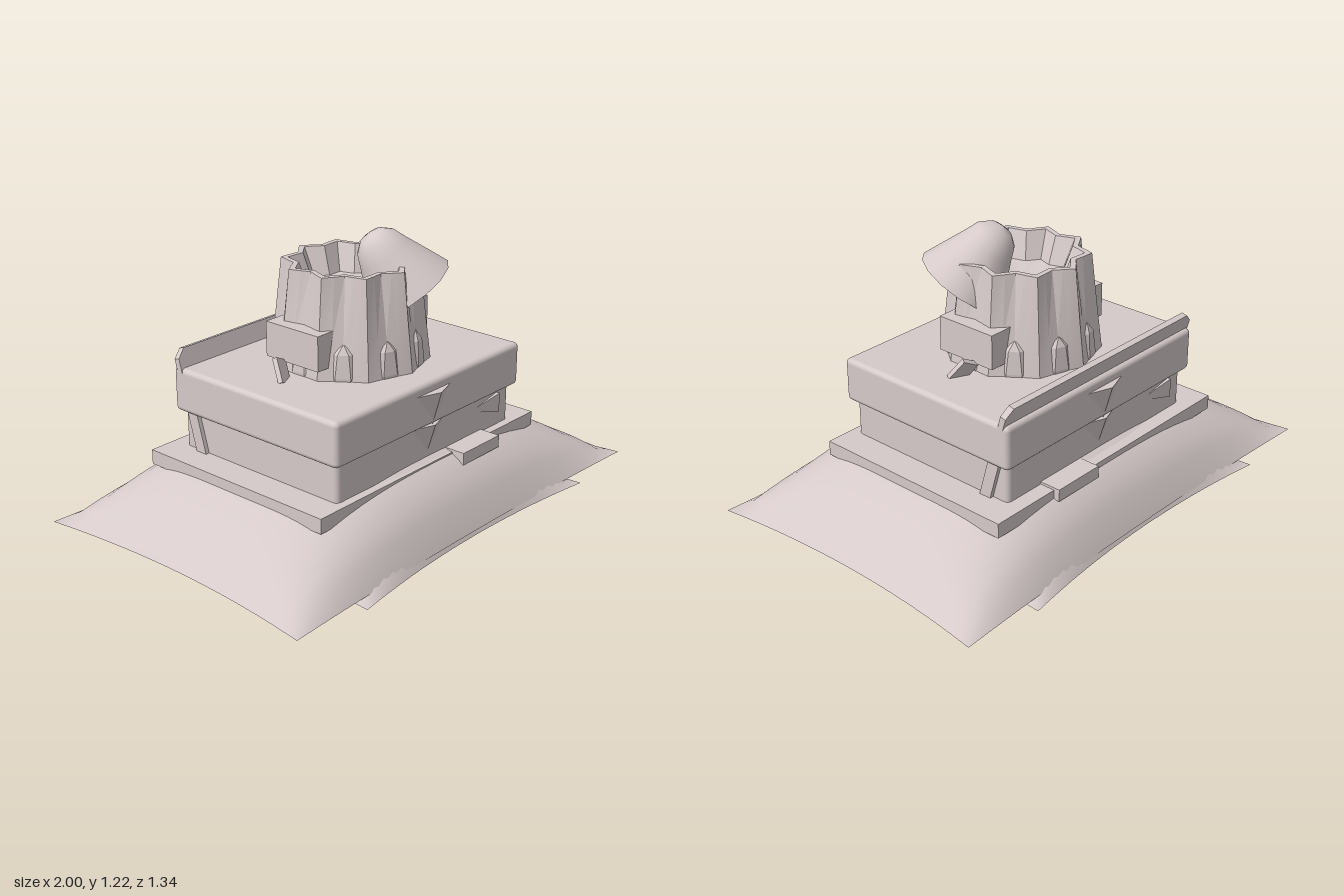
import * as THREE from 'three';
import { toCreasedNormals } from 'three/addons/utils/BufferGeometryUtils.js';
import { RoundedBoxGeometry } from 'three/addons/geometries/RoundedBoxGeometry.js';
import { ConvexGeometry } from 'three/addons/geometries/ConvexGeometry.js';

const stone = new THREE.MeshStandardMaterial({ color: 0xd6caca });
stone.name = 'pale stone';
stone.side = THREE.DoubleSide;

const V = (x, y, z) => new THREE.Vector3(x, y, z);

export function createModel() {
  const model = new THREE.Group();
  const add = (name, geometry) => {
    const mesh = new THREE.Mesh(geometry, stone);
    mesh.name = name;
    model.add(mesh);
    return mesh;
  };
  // box given by its limits
  const box = (name, x0, x1, y0, y1, z0, z1, r = 0) => {
    const g = r ? new RoundedBoxGeometry(x1 - x0, y1 - y0, z1 - z0, 2, r)
      : new THREE.BoxGeometry(x1 - x0, y1 - y0, z1 - z0);
    return add(name, g.translate((x0 + x1) / 2, (y0 + y1) / 2, (z0 + z1) / 2));
  };

  // cushions: two bulged sheets meeting at a pinched seam
  const cushion = (name, cx, cz, pinchX, pinchZ, seam, up, down) => {
    for (const s of [1, -1]) {
      const g = new THREE.PlaneGeometry(2, 2, 24, 24).rotateX(-s * Math.PI / 2);
      const p = g.attributes.position;
      for (let i = 0; i < p.count; i++) {
        const u = THREE.MathUtils.clamp(p.getX(i), -1, 1);
        const v = THREE.MathUtils.clamp(p.getZ(i), -1, 1);
        const bulge = (1 - Math.abs(u) ** 2.5) ** 0.8 * (1 - Math.abs(v) ** 4) ** 0.8;
        p.setXYZ(i, u * (cx - pinchX * (1 - v * v)),
          seam + (s > 0 ? up : -down) * bulge,
          v * (cz - pinchZ * (1 - u * u)));
      }
      g.computeVertexNormals();
      add(name + (s > 0 ? 'Top' : 'Underside'), g);
    }
  };
  cushion('wideCushion', 1, 0.645, 0.05, 0.025, 0.14, 0.29, 0.12);
  cushion('innerCushion', 0.67, 0.67, 0.02, 0.05, 0.12, 0.28, 0.1);

  // plates embedded in the cushions
  box('basePlate', -0.55, 0.55, 0, 0.03, -0.42, 0.42);
  box('lowerPlate', -0.645, 0.645, 0.02, 0.07, -0.46, 0.43);
  box('upperPlate', -0.645, 0.645, 0.32, 0.38, -0.46, 0.43);
  for (const s of [1, -1]) {
    const z = [0.3 * s, 0.485 * s].sort((a, b) => a - b);
    box('lowerTab', 0.11, 0.34, 0.005, 0.045, ...z);
    box('upperTab', 0.11, 0.34, 0.34, 0.39, ...z);
  }

  // pedestal
  box('pedestal', -0.52, 0.52, 0.34, 0.56, -0.395, 0.395, 0.02);
  box('pedestalCap', -0.55, 0.55, 0.53, 0.71, -0.42, 0.42, 0.02);

  // faceted triangle ornaments and side wedges on front and back
  for (const s of [1, -1]) {
    const gem = (name, y0, y1, z, out) => add(name, toCreasedNormals(new ConvexGeometry([
      V(-0.115, y1, z * s), V(0.115, y1, z * s), V(0, y0, z * s), V(0, y1, (z + out) * s)]), 0.2));
    gem('upperGem', 0.53, 0.67, 0.415, 0.04);
    gem('lowerGem', 0.4, 0.53, 0.39, 0.04);
    add('wedge', toCreasedNormals(new ConvexGeometry([
      V(0.26 * s, 0.485, 0.39 * s), V(0.44 * s, 0.52, 0.39 * s), V(0.44 * s, 0.44, 0.39 * s),
      V(0.44 * s, 0.52, 0.41 * s), V(0.44 * s, 0.44, 0.41 * s)]), 0.2));
  }

  // chamfered rail leaning back
  const railShape = new THREE.Shape([[-0.55, 0], [0.55, 0], [0.55, 0.07], [0.515, 0.105],
    [-0.515, 0.105], [-0.55, 0.07]].map(([x, y]) => new THREE.Vector2(x, y)));
  const rail = add('backRail', new THREE.ExtrudeGeometry(railShape, { depth: 0.025, bevelEnabled: false }));
  rail.position.set(0, 0.675, -0.392);
  rail.rotation.x = -0.27;

  // leaning struts, side blocks and small prongs
  for (const s of [1, -1]) {
    const strut = add('strut', new THREE.BoxGeometry(0.02, 0.19, 0.05));
    strut.position.set(0.527 * s, 0.45, -0.315);
    strut.rotation.x = -0.27;
    const x = [0.2 * s, 0.323 * s].sort((a, b) => a - b);
    box('sideBlock', ...x, 0.76, 0.9, -0.14, 0.125);
    const prong = add('prong', new THREE.BoxGeometry(0.07, 0.1, 0.02));
    prong.position.set(0.36 * s, 0.735, -0.025);
    prong.rotation.set(-0.5, -0.4 * s, 0.3 * s);
  }

  // fluted tower: rings of [radius on ribs, radius in grooves, height], ending in a hollow
  const rings = [[0.315, 0.295, 0.7], [0.295, 0.265, 0.86], [0.268, 0.222, 1.1],
    [0.24, 0.2, 1.1], [0.19, 0.16, 0.99], [0, 0, 0.97]];
  const lobes = 10, n = lobes * 4;
  const pos = [], index = [];
  rings.forEach(([rib, groove, y]) => {
    for (let i = 0; i < n; i++) {
      const a = i / n * Math.PI * 2;
      const r = [rib, rib, (rib + groove) / 2 - 0.004, groove][[0, 2, 3, 2][i % 4]];
      pos.push(Math.sin(a) * r, y, Math.cos(a) * r);
    }
  });
  for (let k = 0; k < rings.length - 1; k++) {
    for (let i = 0; i < n; i++) {
      const a = k * n + i, b = k * n + (i + 1) % n;
      index.push(a, b, b + n, a, b + n, a + n);
    }
  }
  const tower = new THREE.BufferGeometry();
  tower.setAttribute('position', new THREE.Float32BufferAttribute(pos, 3));
  tower.setIndex(index);
  add('tower', toCreasedNormals(tower, 0.2));

  // faceted stones at the foot of each groove
  for (let i = 0; i < lobes; i++) {
    const a = (i + 0.5) / lobes * Math.PI * 2;
    const foot = add('footStone', toCreasedNormals(new THREE.SphereGeometry(1, 6, 4), 0.2));
    foot.scale.set(0.06, 0.13, 0.03);
    foot.position.set(Math.sin(a) * 0.272, 0.72, Math.cos(a) * 0.272);
    foot.rotation.y = a;
  }

  // open bell hood tilted out over the front corner
  const bell = [[0, 0.275], [0.05, 0.262], [0.085, 0.23], [0.105, 0.18], [0.15, 0.08], [0.185, 0]]
    .map(([r, y]) => new THREE.Vector2(r, y)).reverse();
  const hood = add('hood', new THREE.LatheGeometry(bell, 14));
  hood.position.set(0.16, 0.975, 0.16);
  hood.quaternion.setFromUnitVectors(V(0, 1, 0), V(-0.4, 0.82, -0.4).normalize());

  return model;
}
